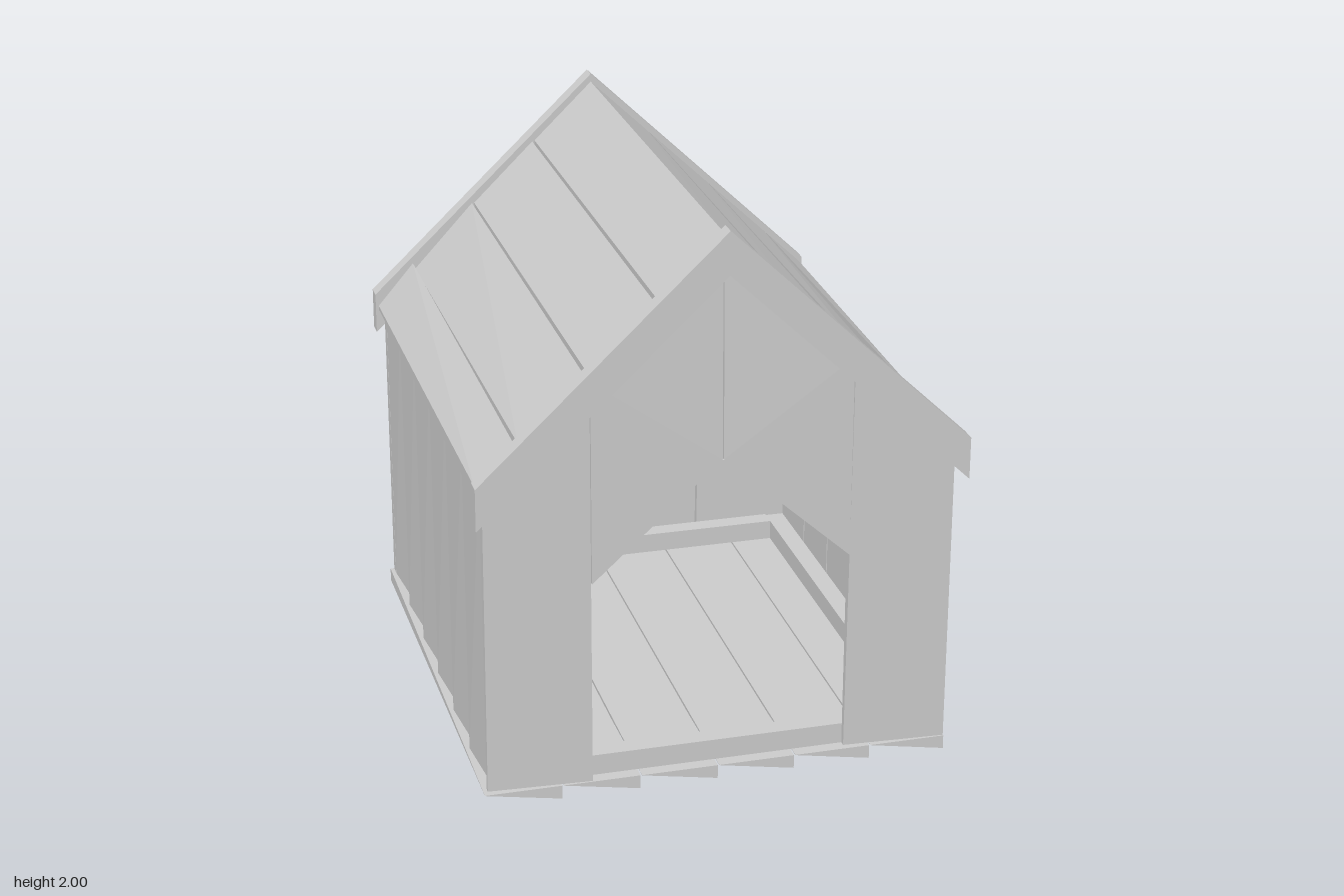
import * as THREE from 'three';
import { ConvexGeometry } from 'three/addons/geometries/ConvexGeometry.js';

export function createModel() {
  const model = new THREE.Group();
  model.name = 'plankShelter';
  const wood = new THREE.MeshStandardMaterial({ color: 0xcccccc });
  wood.name = 'plain wood';

  const add = (name, geometry, parent = model) => {
    const mesh = new THREE.Mesh(geometry, wood);
    mesh.name = name;
    parent.add(mesh);
    return mesh;
  };
  const group = (name) => {
    const g = new THREE.Group();
    g.name = name;
    model.add(g);
    return g;
  };

  // A board from a flat outline; place(u, v, depth) puts it in space and
  // sinks[i] shaves the outer face at corner i, leaving a hand-hewn facet.
  const board = (name, outline, thickness, place, sinks = [], parent = model) => {
    const points = [];
    outline.forEach(([u, v], i) => {
      points.push(place(u, v, 0), place(u, v, thickness - (sinks[i] || 0)));
    });
    return add(name, new ConvexGeometry(points), parent);
  };
  const rect = (u0, v0, u1, v1) => [[u0, v0], [u1, v0], [u1, v1], [u0, v1]];
  const V = (x, y, z) => new THREE.Vector3(x, y, z);

  // Floor: planks with two opposite lower corners shaved away
  const floor = group('floor');
  for (let i = 0; i < 6; i++) {
    const x = -0.825 + i * 0.2735;
    board('floorPlank', rect(x, -0.91, x + 0.268, 0.915), 0.05,
      (u, v, d) => V(u, 0.05 - d, v), [0, 0.049, 0, 0.049], floor);
  }

  // Side walls, the second one turned half round
  for (const side of [1, -1]) {
    const wall = group(side > 0 ? 'leftWall' : 'rightWall');
    for (let i = 0; i < 6; i++) {
      const z = -0.865 + i * 0.289;
      board('sidePlank', rect(z + 0.004, 0.05, z + 0.285, 1.17), 0.04,
        (u, v, d) => V(0.77 + d, v, u), [0.025], wall);
    }
    if (side < 0) wall.rotation.y = Math.PI;
  }

  // Gable walls
  const gableTop = (x) => 1.93 - 0.945 * Math.abs(x);
  const gablePlank = (x0, x1, b0 = 0.05, b1 = 0.05) =>
    [[x0, b0], [x1, b1], [x1, gableTop(x1)], [x0, gableTop(x0)]];
  const front = group('frontWall');
  const back = group('backWall');
  const frontPlace = (u, v, d) => V(u, v, 0.87 + d);
  const backPlace = (u, v, d) => V(-u, v, -0.87 - d);
  [[-0.81, -0.45], [0.45, 0.81]].forEach(([a, b]) =>
    board('doorSidePlank', gablePlank(a, b), 0.04, frontPlace, [0.02], front));
  board('aboveDoorPlank', gablePlank(-0.447, -0.002, 0.79, 1.19), 0.04, frontPlace, [0, 0, 0.015], front);
  board('aboveDoorPlank', gablePlank(0.002, 0.447, 1.19, 0.79), 0.04, frontPlace, [0, 0, 0, 0.015], front);
  [[-0.81, -0.413], [-0.405, -0.004], [0.004, 0.405], [0.413, 0.81]].forEach(([a, b]) =>
    board('backPlank', gablePlank(a, b), 0.04, backPlace, [0.025], back));

  // Inner frame: bottom and top rails
  const frame = group('frame');
  const rail = (name, w, h, d, x, y, z) =>
    add(name, new THREE.BoxGeometry(w, h, d), frame).position.set(x, y, z);
  for (const s of [1, -1]) {
    rail('bottomSideRail', 0.07, 0.075, 1.72, s * 0.735, 0.0875, 0);
    rail('bottomEndRail', 1.4, 0.075, 0.07, 0, 0.0875, s * 0.835);
    rail('topSideRail', 0.07, 0.05, 1.72, s * 0.735, 1.14, 0);
    rail('topEndRail', 1.4, 0.04, 0.05, 0, 1.15, s * 0.845);
  }

  // Roof: four planks down each slope, plus the end trims
  const slope = (x) => 1.925 - 0.945 * x;
  const edges = [0, 0.222, 0.458, 0.69, 0.835];
  const sink = [0.005, 0.008, 0.03, 0.03];
  for (const side of [1, -1]) {
    const roof = group(side > 0 ? 'leftRoof' : 'rightRoof');
    for (let i = 0; i < 4; i++) {
      const x0 = edges[i] + (i ? 0.006 : 0);
      const x1 = edges[i + 1] - 0.003;
      board('roofPlank', rect(x0, -0.905, x1, 0.905), 0.045,
        (u, v, d) => V(u, slope(u) + d, v), [0, 0, sink[i], 0], roof);
    }
    for (const z of [-0.967, 0.905]) {
      board('roofTrim', [[0, 1.85], [0.843, 1.05], [0.843, 1.2], [0, 2]], 0.062,
        (u, v, d) => V(u, v, z + d), [], roof);
    }
    if (side < 0) roof.rotation.y = Math.PI;
  }

  return model;
}
